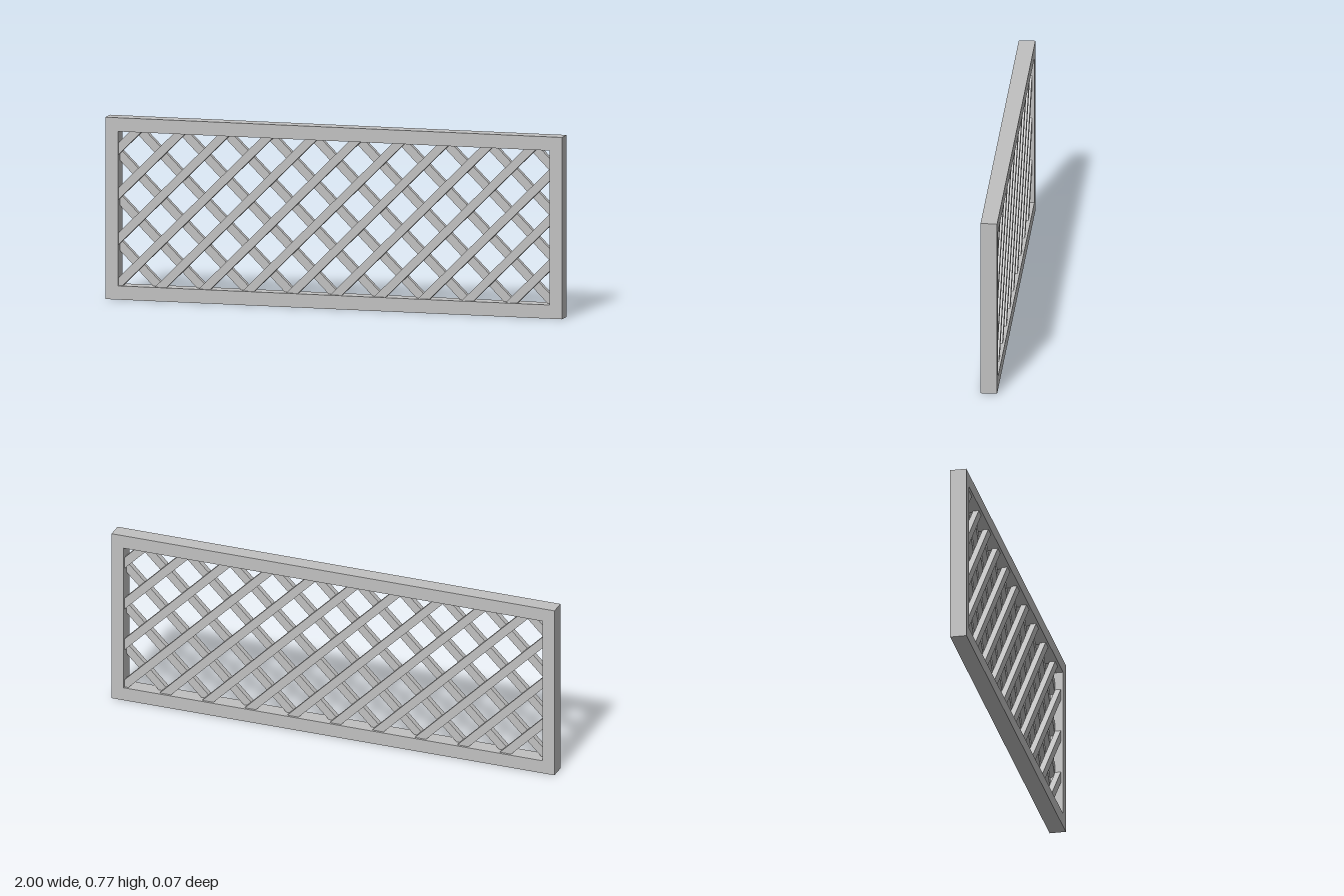
import * as THREE from 'three';

const HEIGHT = 0.775, DEPTH = 0.07;
const OPEN_X = 0.945, OPEN_Y = 0.329;      // half size of the opening
const PITCH = 0.192, SLAT_W = 0.036, SLAT_T = 0.025;

export function createModel() {
  const model = new THREE.Group();
  model.name = 'latticePanel';
  const grey = new THREE.MeshStandardMaterial({ color: 0xc0c0c0 });
  grey.name = 'grey';

  // Rectangular frame with one opening
  const rect = (path, x, y) => path.moveTo(-x, -y).lineTo(x, -y).lineTo(x, y).lineTo(-x, y).closePath();
  const outline = rect(new THREE.Shape(), 1, HEIGHT / 2);
  outline.holes.push(rect(new THREE.Path(), OPEN_X, OPEN_Y));
  const frameGeometry = new THREE.ExtrudeGeometry(outline, { depth: DEPTH, bevelEnabled: false });
  frameGeometry.translate(0, 0, -DEPTH / 2);
  const frame = new THREE.Mesh(frameGeometry, grey);
  frame.name = 'frame';
  frame.position.y = HEIGHT / 2;
  model.add(frame);

  // Two layers of diagonal slats: rising to +x in front, mirrored behind
  for (const side of [1, -1]) {
    const layer = new THREE.Group();
    layer.name = side > 0 ? 'frontSlats' : 'backSlats';
    layer.position.set(0, HEIGHT / 2, side * SLAT_T / 2);
    for (let k = -6; k <= 6; k++) {
      // Clip the line y = x - c to the opening; the ends sink into the frame
      const c = -0.048 + k * PITCH;
      const x0 = Math.max(-OPEN_X, c - OPEN_Y), x1 = Math.min(OPEN_X, c + OPEN_Y);
      const length = (x1 - x0) * Math.SQRT2 + SLAT_W * 1.1;
      const slat = new THREE.Mesh(new THREE.BoxGeometry(length, SLAT_W, SLAT_T), grey);
      slat.name = 'slat';
      const mid = (x0 + x1) / 2;
      slat.position.set(side * mid, mid - c, 0);
      slat.rotation.z = side * Math.PI / 4;
      layer.add(slat);
    }
    model.add(layer);
  }
  return model;
}
